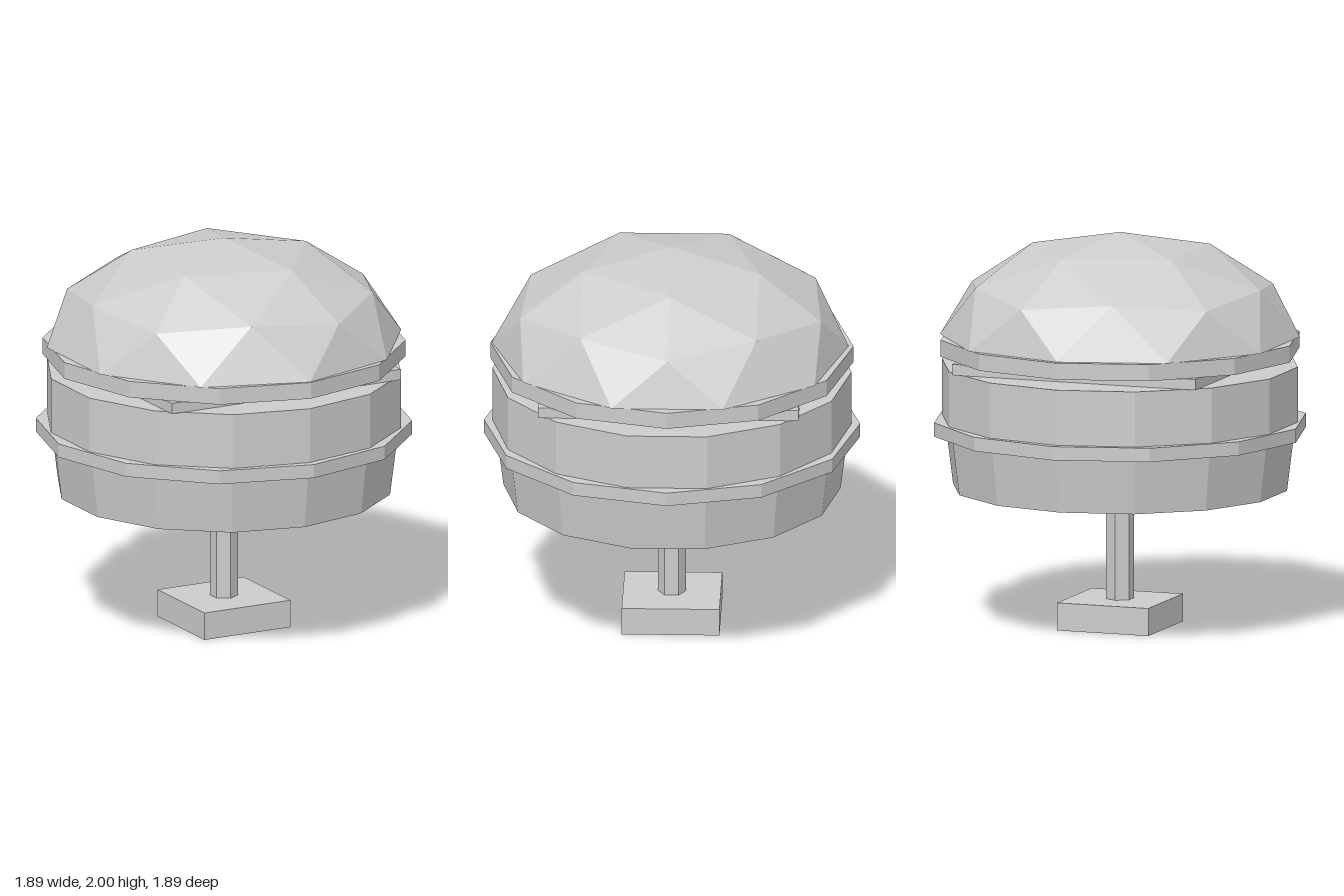
import * as THREE from 'three';

// Faceted dome: pole, two rings of five-fold points and a ten-sided rim
function domeGeometry(baseY) {
  const at = (deg, r, y) => {
    const a = THREE.MathUtils.degToRad(deg);
    return [r * Math.cos(a), y, -r * Math.sin(a)];
  };
  const pole = [0, 2, 0];
  const centre = [0, baseY, 0];
  const upper = (k) => at(72 * k, 0.467, 1.92);
  const corner = (k) => at(72 * k, 0.793, 1.705);
  const middle = (k) => at(72 * k + 36, 0.75, 1.747);
  const rim = (j) => at(18 + 36 * j, j === 2 ? 0.885 : 0.903, baseY);

  const points = [];
  const face = (...corners) => corners.forEach((p) => points.push(...p));
  for (let k = 0; k < 5; k++) {
    face(pole, upper(k), upper(k + 1));
    face(upper(k), corner(k), middle(k));
    face(upper(k), middle(k), upper(k + 1));
    face(upper(k + 1), middle(k), corner(k + 1));
    face(corner(k), rim(2 * k - 1), rim(2 * k));
    face(corner(k), rim(2 * k), middle(k));
    face(middle(k), rim(2 * k), rim(2 * k + 1));
    face(middle(k), rim(2 * k + 1), corner(k + 1));
  }
  // Flat underside
  for (let j = 0; j < 10; j++) face(centre, rim(j + 1), rim(j));

  const geometry = new THREE.BufferGeometry();
  geometry.setAttribute('position', new THREE.Float32BufferAttribute(points, 3));
  geometry.computeVertexNormals();
  return geometry;
}

export function createModel() {
  const model = new THREE.Group();
  model.name = 'burgerOnStand';
  const grey = new THREE.MeshStandardMaterial({ color: 0xcccccc });
  grey.name = 'light grey';
  grey.flatShading = true;

  const add = (name, geometry, y = 0) => {
    const mesh = new THREE.Mesh(geometry, grey);
    mesh.name = name;
    mesh.position.y = y;
    model.add(mesh);
  };
  // Layers are given by their bottom and top heights
  const disc = (name, y0, y1, rTop, rBottom, sides) =>
    add(name, new THREE.CylinderGeometry(rTop, rBottom, y1 - y0, sides), (y0 + y1) / 2);
  const slab = (name, y0, y1, width) =>
    add(name, new THREE.BoxGeometry(width, y1 - y0, width), (y0 + y1) / 2);

  // Stand
  slab('base', 0, 0.14, 0.49);
  disc('post', 0.14, 0.705, 0.07, 0.07, 6);

  // Burger layers from the bottom up
  disc('bottomBun', 0.705, 0.985, 0.88, 0.845, 14);
  disc('lettuce', 0.985, 1.055, 0.943, 0.943, 12);
  disc('patty', 1.055, 1.335, 0.9, 0.9, 14);
  slab('cheese', 1.335, 1.39, 1.306);
  disc('tomato', 1.39, 1.474, 0.91, 0.91, 12);
  add('topBun', domeGeometry(1.475));

  return model;
}
